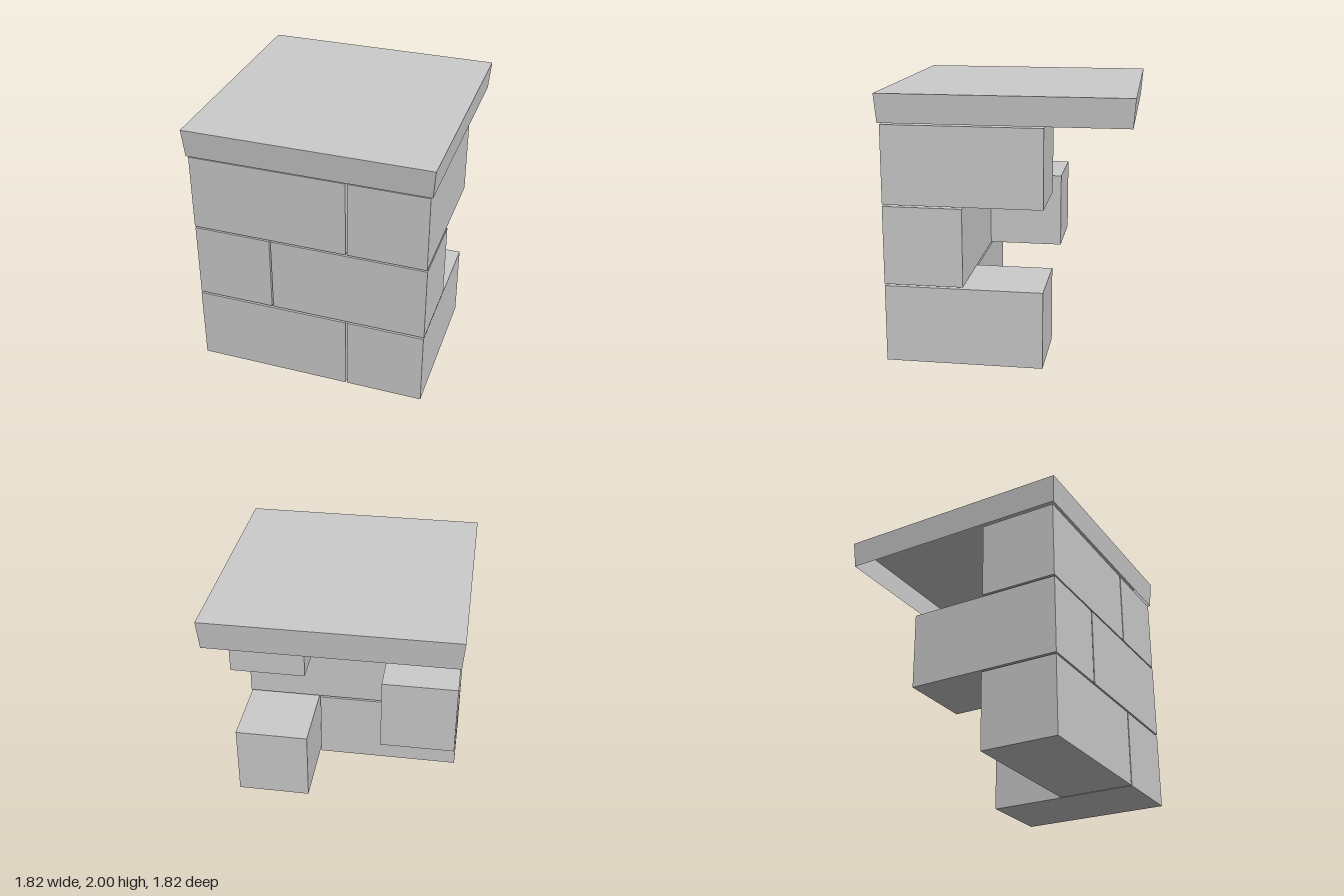
import * as THREE from 'three';

export function createModel() {
  const model = new THREE.Group();
  const stone = new THREE.MeshStandardMaterial({ color: 0xcccccc, flatShading: true });
  const sheet = new THREE.MeshStandardMaterial({ color: 0xcccccc, flatShading: true, side: THREE.DoubleSide });

  function block(name, x0, x1, y0, y1, z0, z1) {
    const mesh = new THREE.Mesh(new THREE.BoxGeometry(x1 - x0, y1 - y0, z1 - z0), stone);
    mesh.position.set((x0 + x1) / 2, (y0 + y1) / 2, (z0 + z1) / 2);
    mesh.name = name;
    model.add(mesh);
  }

  // Three courses: a long face block, and a block turned back into the wall,
  // swapping sides in the middle course
  const front = 0.882, back = -0.284, inner = 0.299;
  const courses = [[0.003, 0.585], [0.6, 1.184], [1.196, 1.777]];
  courses.forEach(([y0, y1], i) => {
    const s = i % 2 ? -1 : 1;
    const span = (a, b) => (s > 0 ? [a, b] : [-b, -a]);
    block('faceBlock', ...span(-0.882, 0.285), y0, y1, inner, front);
    block('returnBlock', ...span(0.296, 0.879), y0, y1, back, front);
  });

  // Capstone: flared thin shell, open underneath
  const cap = new THREE.Group();
  cap.name = 'capstone';
  const topHalf = 0.91, bottomHalf = 0.894, capBase = 1.79;
  const rim = new THREE.CylinderGeometry(topHalf * Math.SQRT2, bottomHalf * Math.SQRT2, 2 - capBase, 4, 1, true);
  rim.rotateY(Math.PI / 4);
  const sides = new THREE.Mesh(rim, sheet);
  sides.name = 'capSides';
  sides.position.y = (2 + capBase) / 2;
  const top = new THREE.Mesh(new THREE.PlaneGeometry(2 * topHalf, 2 * topHalf).rotateX(-Math.PI / 2), sheet);
  top.name = 'capTop';
  top.position.y = 2;
  cap.add(sides, top);
  model.add(cap);

  return model;
}
